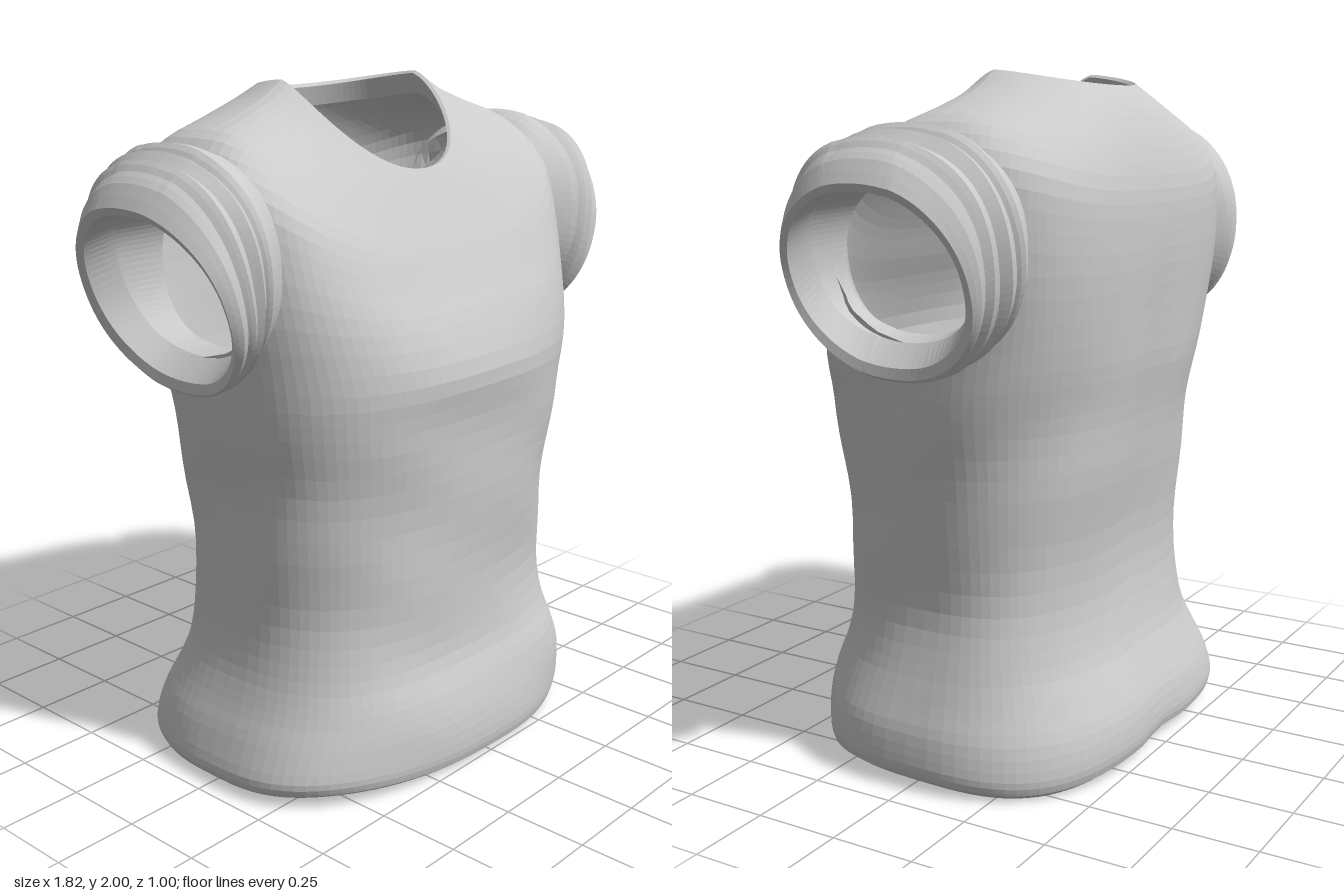
import * as THREE from 'three';

const SEG = 88;
const cloth = new THREE.MeshStandardMaterial({ color: 0xcccccc, flatShading: true, side: THREE.DoubleSide });

// Catmull-Rom refinement of a list of rows, component by component
function refine(rows, sub) {
  const out = [], last = rows.length - 1;
  for (let i = 0; i < last; i++) {
    const [p, a, b, n] = [rows[Math.max(i - 1, 0)], rows[i], rows[i + 1], rows[Math.min(i + 2, last)]];
    for (let k = 0; k < sub; k++) {
      const t = k / sub;
      out.push(a.map((v, c) => v + 0.5 * t * (b[c] - p[c]
        + t * (2 * p[c] - 5 * v + 4 * b[c] - n[c] + t * (3 * (v - b[c]) + n[c] - p[c])))));
    }
  }
  out.push(rows[last]);
  return out;
}

// Closed rings joined into a skin; cut(v) moves a vertex to a hole's rim and reports if it was inside
function loft(name, rows, point, flip = false, cut = () => false) {
  const pos = [], idx = [], inside = [];
  for (const row of rows) {
    for (let j = 0; j < SEG; j++) {
      const v = point(row, (j / SEG) * Math.PI * 2);
      inside.push(cut(v));
      pos.push(v.x, v.y, v.z);
    }
  }
  for (let i = 0; i < rows.length - 1; i++) {
    for (let j = 0; j < SEG; j++) {
      const a = i * SEG + j, b = i * SEG + (j + 1) % SEG, c = a + SEG, d = b + SEG;
      if (inside[a] && inside[b] && inside[c] && inside[d]) continue;
      if (flip) idx.push(a, b, c, b, d, c);
      else idx.push(a, c, b, b, c, d);
    }
  }
  const g = new THREE.BufferGeometry();
  g.setAttribute('position', new THREE.Float32BufferAttribute(pos, 3));
  g.setIndex(idx);
  g.computeVertexNormals();
  const mesh = new THREE.Mesh(g, cloth);
  mesh.name = name;
  return mesh;
}

const power = (v, e) => Math.sign(v) * Math.pow(Math.abs(v), e);

// Torso ring: [half width, centre x, side y, side z, front z, front y, back z, back y, squareness]
function torsoPoint([w, cx, ys, zs, zf, yf, zb, yb, n], t) {
  const c = power(Math.cos(t), 2 / n), s = power(Math.sin(t), 2 / n);
  const rise = Math.pow(Math.abs(Math.sin(t)), n - 1);
  const v = new THREE.Vector3(cx + w * c, 0, zs + Math.abs(s) * ((s > 0 ? zf : zb) - zs));
  v.y = ys + ((s > 0 ? yf : yb) - ys) * rise;
  // soft folds, fading out towards the neck, and a groove along the spine
  const fade = THREE.MathUtils.smoothstep(1.6 - v.y, 0, 0.6);
  const fold = 1 + fade * (0.006 * Math.sin(17 * v.y + 3 * Math.cos(t) + 2 * Math.sin(2 * t))
    + 0.006 * Math.sin(5 * t + 9 * v.y));
  v.x *= fold;
  v.z *= fold;
  if (s < 0) v.z += 0.018 * fade * Math.exp(-Math.pow(v.x / 0.1, 2));
  // uneven hem
  const low = 1 - THREE.MathUtils.smoothstep(v.y, 0, 0.3);
  v.y += low * 0.014 * Math.sin(3 * t + 0.6);
  return v;
}

const flat = (y, w, cx, zf, zb, n = 2.7) => [w, cx, y, 0, zf, y, zb, y, n];

const bodyRows = [
  flat(0.03, 0.68, -0.02, 0.495, -0.495),
  flat(0.07, 0.69, -0.02, 0.502, -0.5),
  flat(0.16, 0.668, -0.01, 0.497, -0.487),
  flat(0.25, 0.63, -0.005, 0.478, -0.455),
  flat(0.35, 0.6, -0.005, 0.445, -0.415),
  flat(0.5, 0.58, -0.01, 0.43, -0.385),
  flat(0.7, 0.585, -0.005, 0.435, -0.39),
  flat(0.9, 0.605, 0, 0.447, -0.41),
  flat(1.07, 0.632, 0, 0.46, -0.43),
  [0.65, 0, 1.2, -0.01, 0.47, 1.2, -0.445, 1.2, 2.8],
  [0.665, 0, 1.4, -0.04, 0.425, 1.34, -0.46, 1.4, 3.2],
  [0.675, 0, 1.6, -0.06, 0.375, 1.44, -0.462, 1.55, 3.4],
  [0.67, 0, 1.76, -0.07, 0.33, 1.535, -0.455, 1.67, 3.3],
  [0.6, 0, 1.86, -0.07, 0.285, 1.615, -0.425, 1.78, 2.8],
  [0.48, 0, 1.908, -0.07, 0.25, 1.68, -0.385, 1.87, 2.5],
  [0.37, 0, 1.952, -0.07, 0.225, 1.725, -0.345, 1.93, 2.3],
  [0.29, 0, 2.0, -0.07, 0.21, 1.75, -0.32, 1.96, 2.2],
];

// Turned-in fabric inside hem and neckline
const hemRows = [
  flat(0.16, 0.625, -0.01, 0.455, -0.445),
  flat(0.09, 0.63, -0.02, 0.44, -0.44),
  flat(0.03, 0.635, -0.02, 0.455, -0.455),
  flat(0.014, 0.66, -0.02, 0.475, -0.475),
  bodyRows[0],
];
const neckRows = [
  bodyRows[bodyRows.length - 1],
  [0.28, 0, 1.992, -0.07, 0.2, 1.748, -0.31, 1.95, 2.2],
  [0.31, 0, 1.93, -0.07, 0.215, 1.715, -0.33, 1.89, 2.2],
];

// Armhole: an oval in the side of the torso
function armhole(v) {
  const dz = (v.z + 0.06) / 0.29, dy = (v.y - 1.53) / 0.255, r = Math.hypot(dz, dy);
  if (Math.abs(v.x) < 0.4 || r >= 1) return false;
  if (r > 1e-4) {
    v.z = -0.06 + (0.29 * dz) / r;
    v.y = 1.53 + (0.255 * dy) / r;
  }
  return true;
}

// Sleeve ring: [top x, top y, bottom x, bottom y, front z, back z]
const sleeveRows = [
  [0.59, 1.805, 0.58, 1.27, 0.228, -0.345],
  [0.65, 1.842, 0.625, 1.24, 0.258, -0.382],
  [0.712, 1.858, 0.655, 1.215, 0.28, -0.402],
  [0.735, 1.832, 0.662, 1.225, 0.27, -0.385],
  [0.762, 1.842, 0.675, 1.2, 0.288, -0.388],
  [0.79, 1.815, 0.685, 1.205, 0.273, -0.362],
  [0.82, 1.825, 0.698, 1.185, 0.286, -0.36],
  [0.845, 1.797, 0.708, 1.192, 0.27, -0.34],
  [0.875, 1.77, 0.716, 1.182, 0.272, -0.338],
  [0.91, 1.71, 0.725, 1.19, 0.255, -0.32],
];
const liningRows = [
  sleeveRows[sleeveRows.length - 1],
  [0.898, 1.69, 0.722, 1.22, 0.238, -0.295],
  [0.8, 1.705, 0.66, 1.28, 0.228, -0.27],
  [0.6, 1.71, 0.59, 1.295, 0.222, -0.25],
];

const sleevePoint = (side) => ([xt, yt, xb, yb, zf, zb], t) => {
  const c = power(Math.cos(t), 0.9), s = power(Math.sin(t), 0.9);
  const ripple = 1 + 0.01 * Math.sin(4 * t + 30 * xt);
  const k = c * 0.5 * (Math.abs(c) < 0.95 ? ripple : 1);
  return new THREE.Vector3(
    side * ((xt + xb) / 2 + (xt - xb) * k),
    (yt + yb) / 2 + (yt - yb) * k,
    (zf + zb) / 2 + ((zf - zb) / 2) * s * ripple);
};

export function createModel() {
  const shirt = new THREE.Group();
  shirt.name = 'shirt';
  shirt.add(
    loft('torso', refine(bodyRows, 3), torsoPoint, false, armhole),
    loft('hemLining', hemRows, torsoPoint),
    loft('neckLining', neckRows, torsoPoint));

  // Sleeves with rolled folds and an inner lining
  for (const [name, side] of [['left', 1], ['right', -1]]) {
    const sleeve = new THREE.Group();
    sleeve.name = name + 'Sleeve';
    sleeve.add(
      loft(name + 'SleeveOuter', refine(sleeveRows, 2), sleevePoint(side), side > 0),
      loft(name + 'SleeveLining', liningRows, sleevePoint(side), side > 0));
    shirt.add(sleeve);
  }
  return shirt;
}
